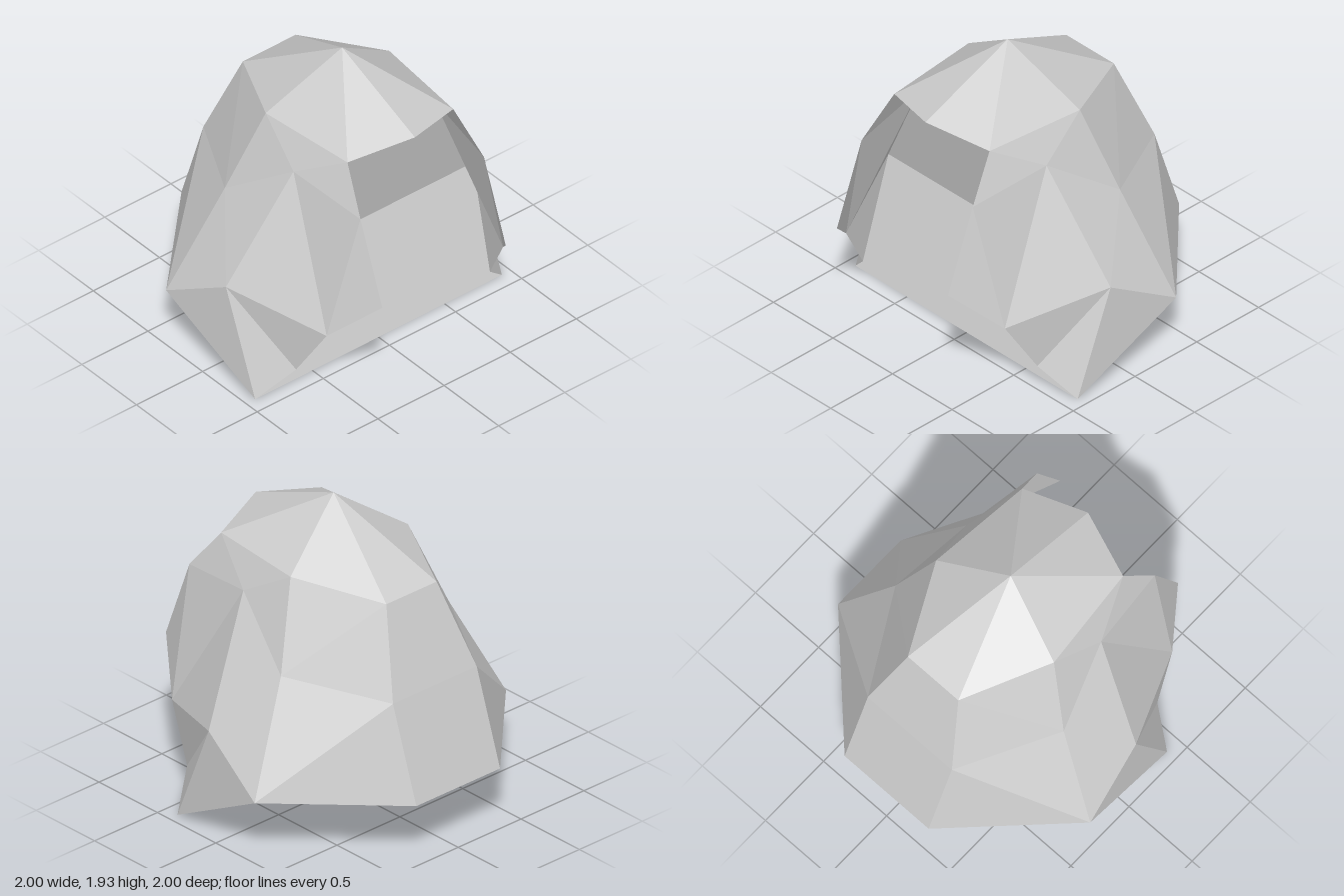
import * as THREE from 'three';

// Corner points of the left half (+x); a trailing "'" in a face means the mirrored point
const P = {
  T: [0, 1.933, 0.067],      // crown tip
  F: [0, 1.667, 0.733],      // brim tip
  A: [0.4, 1.6, 0.6],        // brim corner
  B: [0.467, 1.6, -0.067],   // upper side
  C: [0.2, 1.533, -0.6],     // back, top
  D: [0.333, 1, -0.8],       // back, middle
  E: [0.333, 0.4, -1],       // back, bottom
  G: [0.667, 1.067, -0.2],   // middle of side
  S: [1, 0.4, -0.333],       // widest point
  H: [0.533, 1.4, 0.267],    // temple
  K: [0.933, 0.667, 0.133],  // cheek
  L: [0.933, 0, 0.4],        // lowest point
  M: [0.733, 0.2, 0.533],    // lower front edge
  N: [0.667, 0.533, 0.733],  // jaw edge
  O: [0.467, 0.8, 1],        // front point of cheek guard
  Q: [0.467, 1.333, 0.8],    // upper front edge
};

const point = (name, side) => {
  const [x, y, z] = P[name[0]];
  return [x * side * (name.endsWith("'") ? -1 : 1), y, z];
};

// Builds flat faces from point names; side -1 mirrors them and flips the winding
function facetMesh(name, faces, material, sides = [1]) {
  const pos = [];
  for (const side of sides) {
    for (const face of faces) {
      const pts = face.split(' ').map((n) => point(n, side));
      if (side < 0) pts.reverse();
      for (let i = 1; i < pts.length - 1; i++) pos.push(...pts[0], ...pts[i], ...pts[i + 1]);
    }
  }
  const geo = new THREE.BufferGeometry();
  geo.setAttribute('position', new THREE.Float32BufferAttribute(pos, 3));
  geo.computeVertexNormals();
  const mesh = new THREE.Mesh(geo, material);
  mesh.name = name;
  return mesh;
}

export function createModel() {
  const grey = new THREE.MeshStandardMaterial({ color: 0xcccccc, side: THREE.DoubleSide, flatShading: true });
  grey.name = 'light grey';

  const group = new THREE.Group();
  group.name = 'hood';

  // Crown: fan around the tip
  group.add(facetMesh('crown', ['T F A', 'T A B', 'T B C'], grey, [1, -1]));
  // Back strip from the tip down to the rear hem
  group.add(facetMesh('backPanel', ["T C C'", "C D D' C'", "D E E' D'"], grey));
  // Sides and the flared cheek guards
  for (const [side, label] of [[1, 'left'], [-1, 'right']]) {
    group.add(facetMesh(label + 'RearSide', ['B G C', 'C G D', 'D G S', 'D S E'], grey, [side]));
    group.add(facetMesh(label + 'FrontSide', ['A H B', 'B H G', 'H K G', 'G K S', 'K L S'], grey, [side]));
    group.add(facetMesh(label + 'CheekGuard', ['A Q H', 'Q N H', 'Q O N', 'H N K', 'N M K', 'M L K'], grey, [side]));
  }
  // Recessed panel closing the front, and the underside of the brim
  group.add(facetMesh('facePanel', ["L' L K K'", "K' K H H'"], grey));
  group.add(facetMesh('brimUnderside', ["H' H A A'", "A' A F"], grey));
  return group;
}
